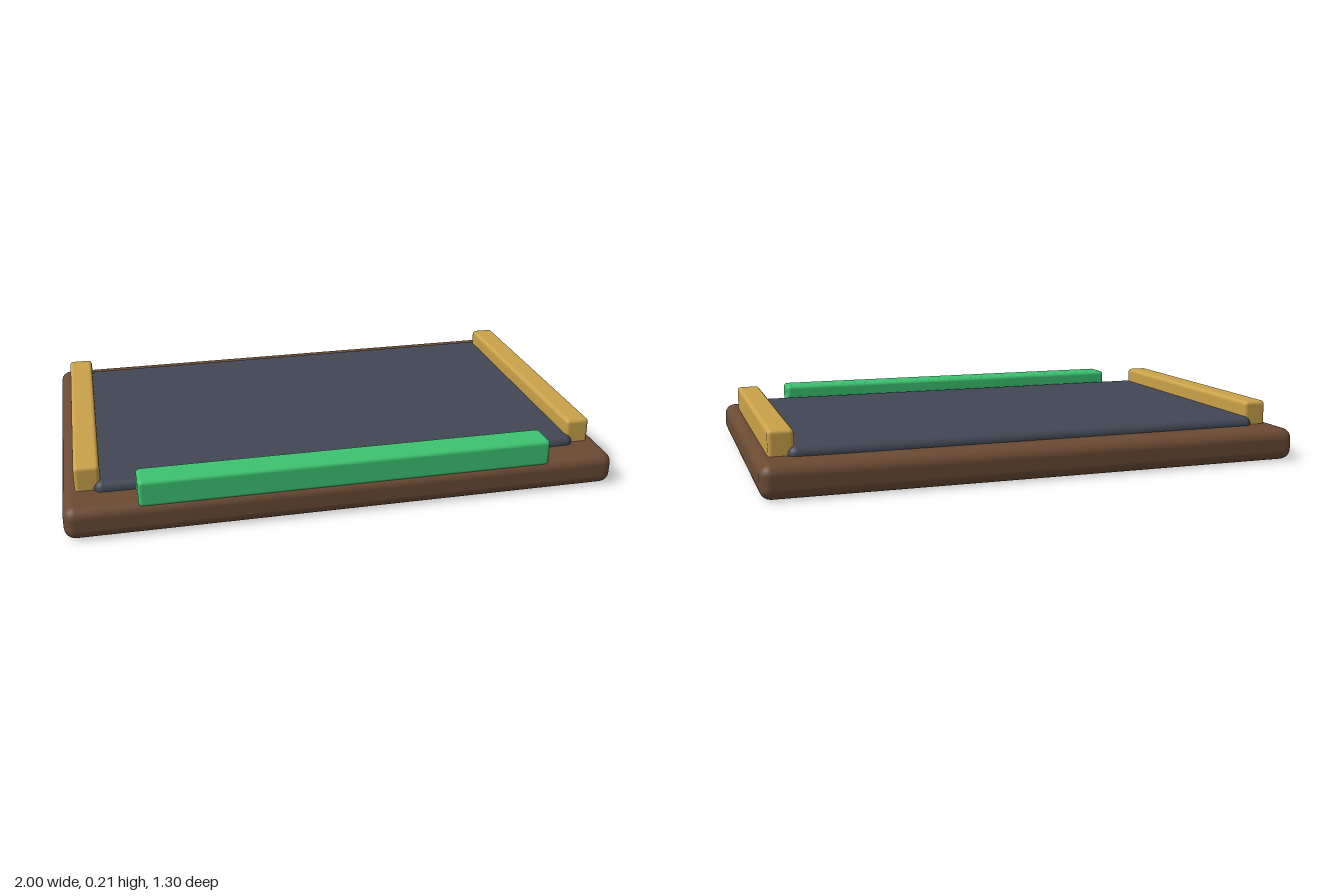
import * as THREE from 'three';
import { RoundedBoxGeometry } from 'three/addons/geometries/RoundedBoxGeometry.js';

const material = (name, color) => {
  const m = new THREE.MeshStandardMaterial({ color });
  m.name = name;
  return m;
};

export function createModel() {
  const group = new THREE.Group();
  group.name = 'framedBoard';

  const wood = material('brown wood', 0x6b4a33);
  const slate = material('dark slate', 0x414754);
  const brass = material('golden brass', 0xc9a24a);
  const green = material('green', 0x3cc270);

  // Rounded block given by its extents on each axis
  const block = (name, mat, [x0, x1], [y0, y1], [z0, z1], radius) => {
    const geometry = new RoundedBoxGeometry(x1 - x0, y1 - y0, z1 - z0, 4, radius);
    const mesh = new THREE.Mesh(geometry, mat);
    mesh.position.set((x0 + x1) / 2, (y0 + y1) / 2, (z0 + z1) / 2);
    mesh.name = name;
    group.add(mesh);
  };

  // Wooden base and inset slate surface
  block('base', wood, [-1, 1], [0, 0.12], [-0.65, 0.65], 0.04);
  block('slateSurface', slate, [-0.89, 0.89], [0.08, 0.153], [-0.535, 0.535], 0.03);

  // Side rails
  block('leftRail', brass, [0.865, 0.955], [0.1, 0.21], [-0.512, 0.512], 0.015);
  block('rightRail', brass, [-0.955, -0.865], [0.1, 0.21], [-0.512, 0.512], 0.015);

  // Front bar
  block('frontBar', green, [-0.745, 0.745], [0.1, 0.2], [0.528, 0.642], 0.015);

  return group;
}
